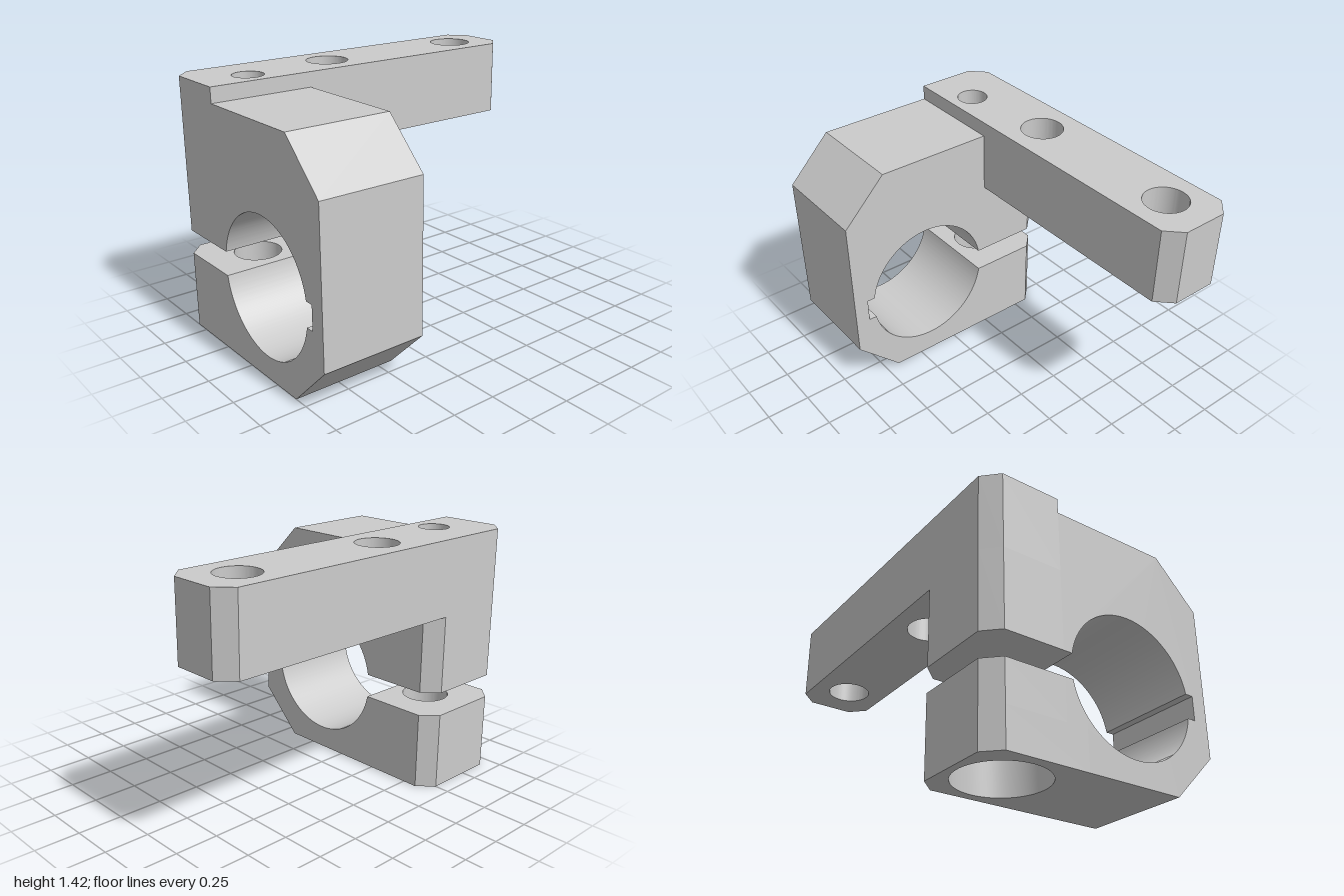
import * as THREE from 'three';
import { toCreasedNormals } from 'three/addons/utils/BufferGeometryUtils.js';

const LEFT = -1, RIGHT = -0.417, BACK = -0.667, SEAM = -0.25, CH = 0.083;
const BOLT = [-0.708, -0.392];

export function createModel() {
  const group = new THREE.Group();
  const material = new THREE.MeshStandardMaterial({ color: 0xcccccc });

  const add = (name, geometry) => {
    const mesh = new THREE.Mesh(toCreasedNormals(geometry, 0.5), material);
    mesh.name = name;
    group.add(mesh);
  };

  // Horizontal plate from a clockwise plan outline [x, z] with round holes [x, z, radius]
  const plate = (name, outline, holes, y0, y1) => {
    const shape = new THREE.Shape(outline.map(([x, z]) => new THREE.Vector2(x, -z)));
    for (const [x, z, r] of holes) {
      // Holes wind against the outline so their walls face inward
      shape.holes.push(new THREE.Path().absarc(x, -z, r, 0, Math.PI * 2, false));
    }
    const g = new THREE.ExtrudeGeometry(shape, { depth: y1 - y0, bevelEnabled: false, curveSegments: 48 });
    add(name, g.rotateX(-Math.PI / 2).translate(0, y0, 0));
  };

  // Clamp jaw plan with both rear corners chamfered
  const jaw = (front) => [
    [LEFT, front], [LEFT, BACK + CH], [LEFT + CH, BACK],
    [RIGHT - CH, BACK], [RIGHT, BACK + CH], [RIGHT, front],
  ];

  // Clamp ring: side profile in (z, y) with bore, slot and relief groove
  const cz = 0.168, cy = 0.502, r = 0.375, half = 0.067;
  const a = Math.asin(half / r);
  const lo = cy - half, hi = cy + half;
  const shoulder = 0.21, counterboreSeam = -0.13;
  const ring = new THREE.Shape();
  ring.moveTo(SEAM, hi);
  for (const [z, y] of [
    [SEAM, 1.335], [0.417, 1.335], [0.667, 1.085], [0.667, 0.25], [0.417, 0],
    [counterboreSeam, 0], [counterboreSeam, shoulder], [SEAM, shoulder], [SEAM, lo],
  ]) ring.lineTo(z, y);
  ring.absarc(cz, cy, r, Math.PI + a, Math.PI * 2 - a, false);
  ring.lineTo(0.583, lo);
  ring.lineTo(0.583, hi);
  ring.absarc(cz, cy, r, a, Math.PI - a, false);
  ring.closePath();
  const ringGeometry = new THREE.ExtrudeGeometry(ring, {
    depth: RIGHT - LEFT, bevelEnabled: false, curveSegments: 64,
  });
  add('clampRing', ringGeometry.rotateY(-Math.PI / 2).translate(RIGHT, 0, 0));

  // Jaws: counterbored lower jaw, narrower bolt hole in the upper jaw
  plate('lowerJawCounterbore', jaw(counterboreSeam), [[...BOLT, 0.235]], 0, shoulder);
  plate('lowerJaw', jaw(SEAM), [[...BOLT, 0.13]], shoulder, lo);
  plate('upperJaw', jaw(SEAM), [[...BOLT, 0.085]], hi, 1.0);

  // Mounting bar across the top
  plate('mountingBar', [
    [LEFT, SEAM], [LEFT, BACK + CH], [LEFT + CH, BACK],
    [1 - CH, BACK], [1, BACK + CH], [1, SEAM - CH], [1 - CH, SEAM],
  ], [[...BOLT, 0.085], [-0.168, -0.46, 0.117], [0.748, -0.46, 0.117]], 1.0, 1.418);

  return group;
}
